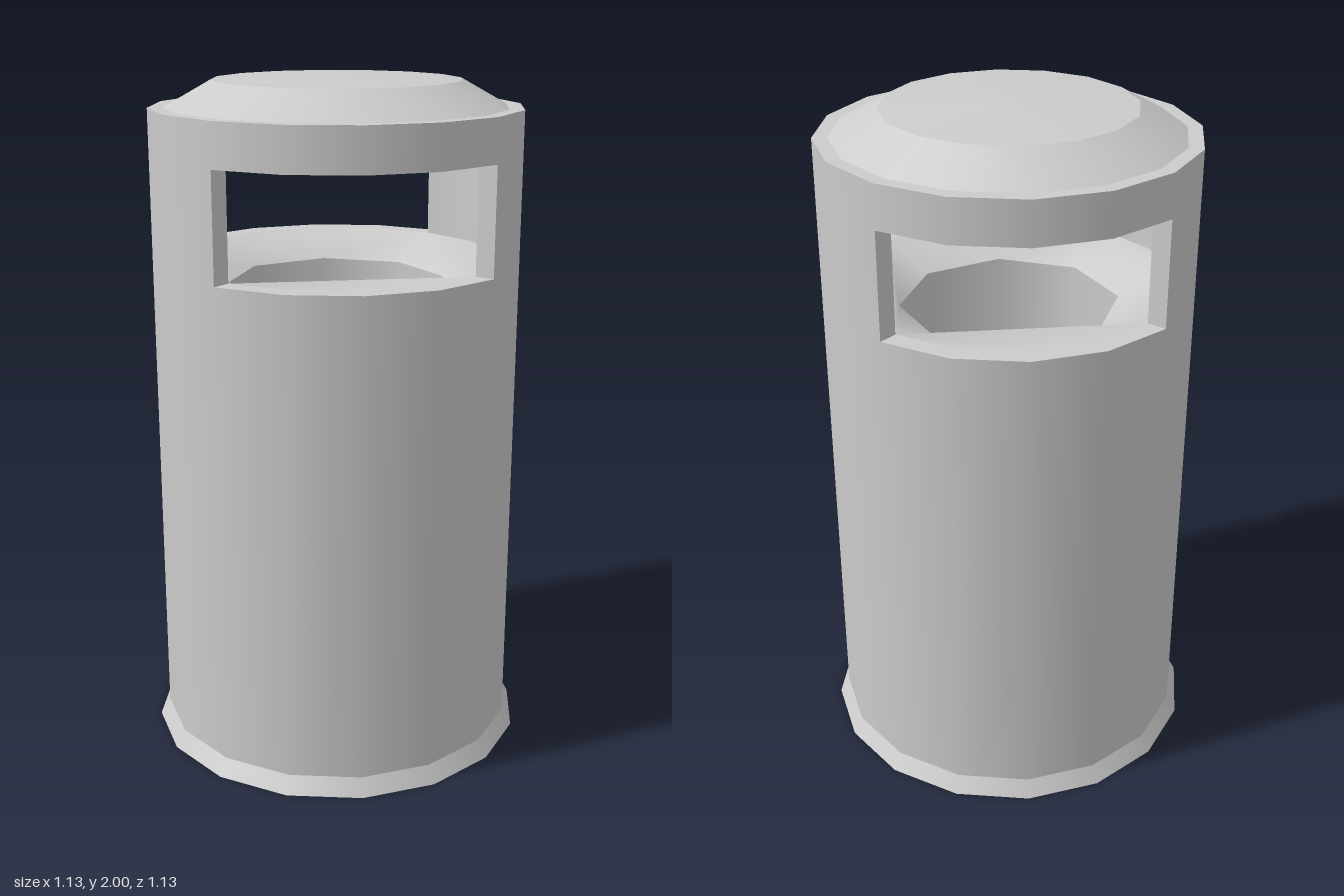
import * as THREE from 'three';
import { mergeGeometries } from 'three/addons/utils/BufferGeometryUtils.js';

const SIDES = 16;
const R = 0.538, INNER = 0.48, FOOT = 0.567;   // radii of the shell
const SILL = 1.47, HEAD = 1.78;                // bottom and top of the openings
const LINER_R = 0.32, LINER_TOP = 1.4, LINER_Y = 0.13;

// Revolves each profile step by itself, so rings stay sharp and sides smooth.
function turned(profile, sides = SIDES, start = 0, sweep = Math.PI * 2) {
  const bands = [];
  for (let i = 1; i < profile.length; i++) {
    const pair = [profile[i - 1], profile[i]].map(([r, y]) => new THREE.Vector2(r, y));
    bands.push(new THREE.LatheGeometry(pair, sides, start, sweep));
  }
  return mergeGeometries(bands);
}

// Corner points of a regular polygon with corners on the axes.
function polygon(radius, sides) {
  return Array.from({ length: sides }, (_, i) => {
    const a = (i / sides) * Math.PI * 2;
    return new THREE.Vector2(radius * Math.cos(a), radius * Math.sin(a));
  });
}

export function createModel() {
  const model = new THREE.Group();
  const solid = new THREE.MeshStandardMaterial({ color: 0xcccccc });
  const sheet = new THREE.MeshStandardMaterial({ color: 0xcccccc, side: THREE.DoubleSide });
  const add = (name, geometry, material) => {
    const mesh = new THREE.Mesh(geometry, material);
    mesh.name = name;
    model.add(mesh);
  };

  // Flared foot, wall and sill: one thin skin, open below
  add('body', turned([[FOOT, 0], [R, 0.05], [R, SILL], [INNER, SILL]]), sheet);

  // Funnel falling from the round sill to the eight-sided liner
  const outline = new THREE.Shape(polygon(INNER, SIDES));
  outline.holes.push(new THREE.Path(polygon(LINER_R, 8)));
  const funnel = new THREE.ShapeGeometry(outline).rotateX(-Math.PI / 2);
  const points = funnel.attributes.position;
  for (let i = 0; i < points.count; i++) {
    const radius = Math.hypot(points.getX(i), points.getZ(i));
    points.setY(i, THREE.MathUtils.mapLinear(radius, LINER_R, INNER, LINER_TOP, SILL));
  }
  funnel.computeVertexNormals();
  add('funnel', funnel, sheet);

  // Liner tube hanging inside the shell
  add('liner', turned([[LINER_R, LINER_TOP], [LINER_R, LINER_Y]], 8), sheet);

  // Two curved pillars between the front and back openings
  const height = HEAD - SILL;
  const mid = (R + INNER) / 2;
  for (const [name, start] of [['leftPillar', Math.PI / 4], ['rightPillar', Math.PI * 1.25]]) {
    const sweep = Math.PI / 2;
    const parts = [
      turned([[R, SILL], [R, HEAD]], SIDES / 4, start, sweep),
      turned([[INNER, HEAD], [INNER, SILL]], SIDES / 4, start, sweep),
    ];
    for (const [angle, facing] of [[start, -1], [start + sweep, 1]]) {
      parts.push(new THREE.PlaneGeometry(R - INNER, height)
        .rotateY(angle + facing * Math.PI / 2)
        .translate(mid * Math.sin(angle), SILL + height / 2, mid * Math.cos(angle)));
    }
    add(name, mergeGeometries(parts), solid);
  }

  // Lid with a flat underside, a narrow rim and a shallow dome
  add('lid', turned([
    [0, HEAD], [R, HEAD], [R, 1.905], [0.495, 1.905], [0.36, 1.98], [0, 2],
  ]), solid);

  return model;
}
